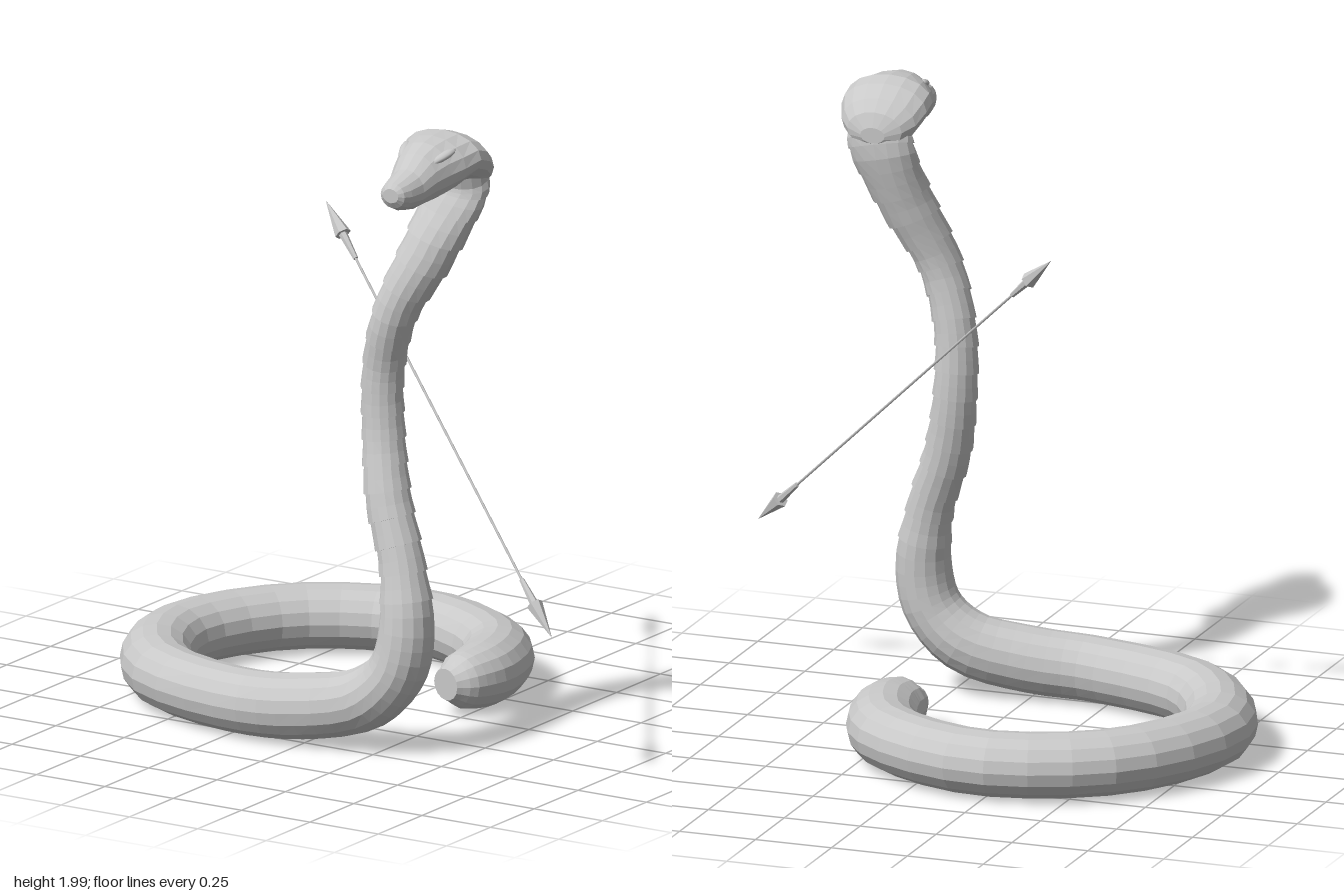
import * as THREE from 'three';

const SIDES = 16;

// Skins a list of rings (arrays of Vector3) and closes both ends.
function loft(rings) {
  const n = rings[0].length, pos = [], idx = [];
  rings.forEach(r => r.forEach(p => pos.push(p.x, p.y, p.z)));
  for (let i = 0; i < rings.length - 1; i++) {
    for (let j = 0; j < n; j++) {
      const a = i * n + j, b = i * n + (j + 1) % n;
      idx.push(a, b, a + n, b, b + n, a + n);
    }
  }
  const last = (rings.length - 1) * n;
  for (let j = 1; j < n - 1; j++) {
    idx.push(0, j + 1, j);
    idx.push(last, last + j, last + j + 1);
  }
  const g = new THREE.BufferGeometry();
  g.setAttribute('position', new THREE.Float32BufferAttribute(pos, 3));
  g.setIndex(idx);
  const flat = g.toNonIndexed();
  flat.computeVertexNormals();
  return flat;
}

// Centre line of the snake: x, y, z, then the two half widths
const SPINE = [
  [0.205, 0.11, 0.015, 0.05, 0.055], [0.225, 0.11, -0.05, 0.09, 0.095],
  [0.23, 0.11, -0.17, 0.102, 0.112], [0.13, 0.11, -0.39, 0.102, 0.114],
  [-0.23, 0.11, -0.547, 0.102, 0.115], [-0.61, 0.11, -0.39, 0.102, 0.115],
  [-0.787, 0.11, 0, 0.102, 0.115], [-0.61, 0.11, 0.365, 0.102, 0.112],
  [-0.22, 0.112, 0.51, 0.102, 0.106], [0, 0.125, 0.497, 0.104, 0.105],
  [0.2, 0.172, 0.462, 0.1, 0.103], [0.306, 0.27, 0.452, 0.092, 0.095],
  [0.338, 0.4, 0.445, 0.088, 0.087], [0.308, 0.6, 0.422, 0.073, 0.07],
  [0.24, 0.8, 0.395, 0.073, 0.069], [0.205, 1.0, 0.368, 0.068, 0.063],
  [0.205, 1.2, 0.37, 0.066, 0.062], [0.26, 1.4, 0.385, 0.068, 0.073],
  [0.35, 1.6, 0.335, 0.088, 0.077], [0.41, 1.8, 0.265, 0.108, 0.056],
  [0.42, 1.89, 0.28, 0.1, 0.06],
];
const END = SPINE.length - 1;
const path = new THREE.CatmullRomCurve3(SPINE.map(p => new THREE.Vector3(p[0], p[1], p[2])));
const widths = new THREE.CatmullRomCurve3(SPINE.map(p => new THREE.Vector3(p[3], p[4], 0)), false, 'catmullrom', 0.3);

// One cross-section at spine index s; tilt leans it so that its back is higher.
function section(s, scale = 1, tilt = 0) {
  const t = s / END, c = path.getPoint(t), T = path.getTangent(t), w = widths.getPoint(t);
  const k = THREE.MathUtils.smoothstep(c.y, 0.12, 0.5);
  const u = new THREE.Vector3(-k, 1 - k, 0);
  u.addScaledVector(T, -u.dot(T)).normalize();
  const v = new THREE.Vector3().crossVectors(T, u);
  return Array.from({ length: SIDES }, (_, j) => {
    const a = j / SIDES * Math.PI * 2;
    return c.clone()
      .addScaledVector(u, Math.cos(a) * w.x * scale)
      .addScaledVector(v, Math.sin(a) * w.y * scale)
      .addScaledVector(T, -tilt * Math.sin(a));
  });
}

// Smooth coil, from tail to the start of the ribs
function bodyGeometry(ribStart) {
  const rings = [], n = 46;
  for (let i = 0; i <= n; i++) rings.push(section(ribStart * i / n));
  return loft(rings);
}

// Overlapping ribs, each flared at its lower edge
function neckGeometry(ribStart) {
  const rings = [], n = 17, top = END - 0.6;
  for (let i = 0; i < n; i++) {
    const lo = ribStart + (top - ribStart) * i / n, hi = ribStart + (top - ribStart) * (i + 1) / n;
    const tilt = f => 0.004 + 0.022 * Math.pow(f / n, 2);
    const flare = i < n - 2 ? 0.06 : 0.02;
    rings.push(section(lo, 1 + flare, tilt(i)));
    rings.push(section((lo + hi) / 2, 1.01, tilt(i + 0.5)));
    rings.push(section(hi, 0.97, tilt(i + 1)));
  }
  rings.push(section(END));
  return loft(rings);
}

// Head profile: z, bottom, top, half width
function headGeometry() {
  const rows = [
    [0.207, 1.82, 1.87, 0.04], [0.225, 1.8, 1.915, 0.09], [0.26, 1.8, 1.95, 0.122],
    [0.31, 1.83, 1.985, 0.14], [0.36, 1.848, 2.0, 0.14], [0.42, 1.82, 1.995, 0.122],
    [0.47, 1.804, 1.985, 0.1], [0.52, 1.8, 1.962, 0.082], [0.57, 1.795, 1.922, 0.066],
    [0.62, 1.803, 1.905, 0.055], [0.648, 1.816, 1.896, 0.044], [0.66, 1.835, 1.88, 0.028],
  ];
  return loft(rows.map(([z, b, t, w]) => Array.from({ length: SIDES }, (_, j) => {
    const a = j / SIDES * Math.PI * 2;
    return new THREE.Vector3(0.417 + Math.cos(a) * w, (b + t) / 2 + Math.sin(a) * (t - b) / 2, z);
  })));
}

export function createModel() {
  const model = new THREE.Group();
  const grey = new THREE.MeshStandardMaterial({ color: 0xc8c8c8 });
  grey.name = 'light grey';
  const add = (geometry, name, parent = model) => {
    const m = new THREE.Mesh(geometry, grey);
    m.name = name;
    parent.add(m);
    return m;
  };

  const ribStart = 12.5;
  add(bodyGeometry(ribStart + 0.05), 'coiledBody');
  add(neckGeometry(ribStart), 'ribbedNeck');
  add(headGeometry(), 'head');

  // Brow ridges over the eyes
  for (const s of [-1, 1]) {
    const brow = add(new THREE.IcosahedronGeometry(1, 1), s > 0 ? 'leftBrow' : 'rightBrow');
    brow.scale.set(0.018, 0.012, 0.05);
    brow.position.set(0.417 + s * 0.07, 1.95, 0.47);
    brow.rotation.set(0.35, -s * 0.35, 0);
  }

  // Thin shaft with a pointed head at each end
  const A = new THREE.Vector3(-0.26, 1.58, -0.025), B = new THREE.Vector3(0.905, 0.48, 0.5);
  const length = A.distanceTo(B);
  const arrow = new THREE.Group();
  arrow.name = 'doubleArrow';
  arrow.position.copy(A).add(B).multiplyScalar(0.5);
  arrow.quaternion.setFromUnitVectors(new THREE.Vector3(0, 1, 0), B.clone().sub(A).normalize());
  add(new THREE.CylinderGeometry(0.004, 0.004, length - 0.2, 6), 'arrowShaft', arrow);
  for (const s of [-1, 1]) {
    const end = new THREE.Group();
    end.name = s > 0 ? 'lowerArrowhead' : 'upperArrowhead';
    if (s < 0) end.rotation.z = Math.PI;
    add(new THREE.ConeGeometry(0.026, 0.13, 6).toNonIndexed(), 'point', end).position.y = length / 2 - 0.065;
    add(new THREE.CylinderGeometry(0.014, 0.008, 0.1, 6).toNonIndexed(), 'socket', end).position.y = length / 2 - 0.175;
    end.children.forEach(m => m.geometry.computeVertexNormals());
    arrow.add(end);
  }
  model.add(arrow);
  return model;
}
